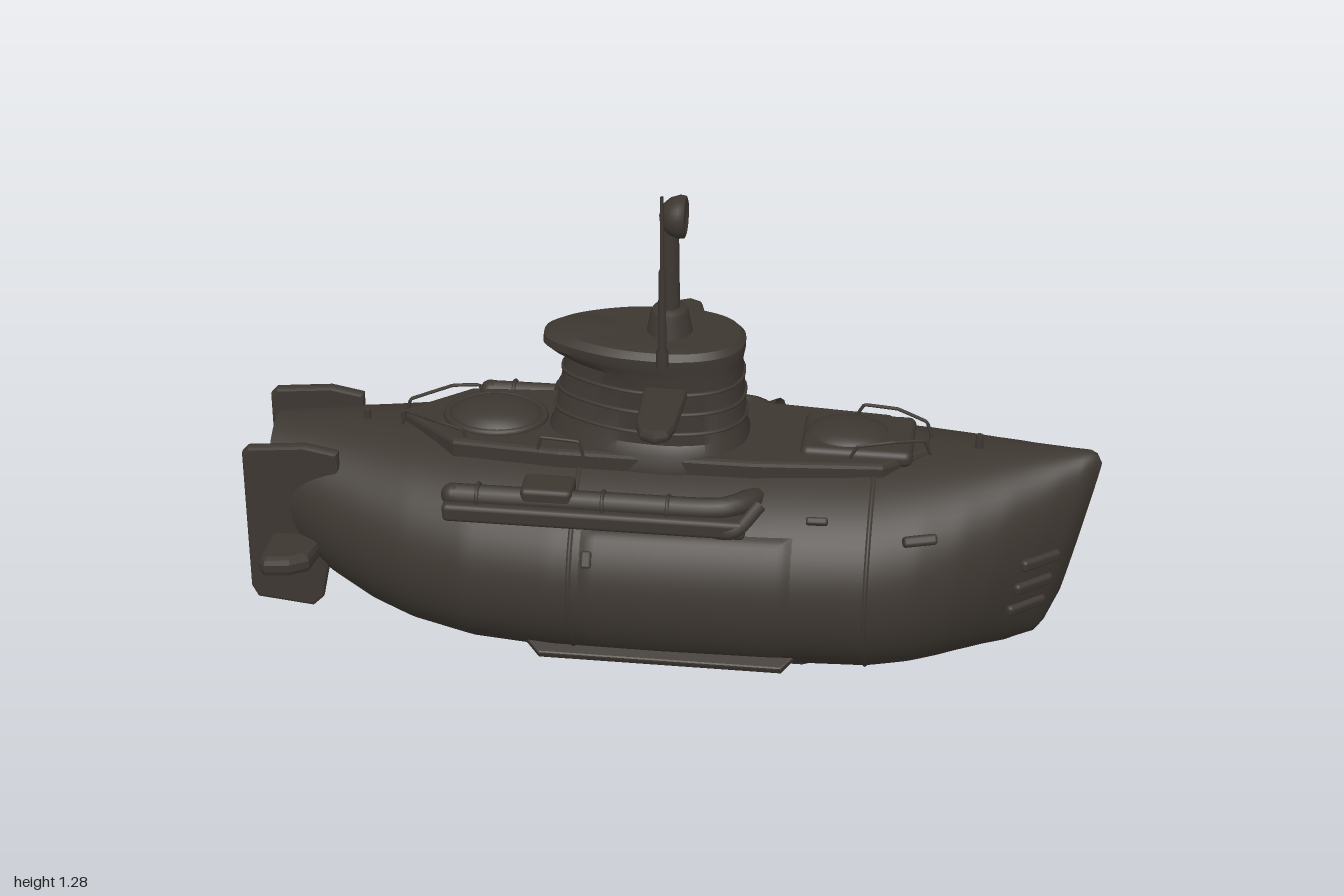
import * as THREE from 'three';
import { toCreasedNormals } from 'three/addons/utils/BufferGeometryUtils.js';
import { RoundedBoxGeometry } from 'three/addons/geometries/RoundedBoxGeometry.js';

const steel = new THREE.MeshStandardMaterial({ color: 0x3d3731, side: THREE.DoubleSide });
steel.name = 'dark steel';
const V = (x, y, z) => new THREE.Vector3(x, y, z);

// Hull stations: x, deck height, bottom height, half width
const STATIONS = [
  [-0.95, 0.585, 0.33, 0.12], [-0.88, 0.59, 0.25, 0.165], [-0.8, 0.592, 0.195, 0.205], [-0.7, 0.595, 0.14, 0.25],
  [-0.6, 0.6, 0.105, 0.288], [-0.45, 0.603, 0.08, 0.33], [-0.25, 0.605, 0.07, 0.35], [0, 0.607, 0.065, 0.348],
  [0.25, 0.61, 0.065, 0.343], [0.48, 0.612, 0.067, 0.328], [0.6, 0.615, 0.075, 0.296], [0.7, 0.617, 0.085, 0.255],
  [0.8, 0.62, 0.095, 0.2], [0.9, 0.623, 0.105, 0.132], [0.97, 0.625, 0.13, 0.075], [0.99, 0.615, 0.17, 0.045],
  [1, 0.595, 0.24, 0.018],
];

function station(x) {
  let i = 0;
  while (i < STATIONS.length - 2 && x > STATIONS[i + 1][0]) i++;
  const [a, b] = [STATIONS[i], STATIONS[i + 1]];
  const t = THREE.MathUtils.clamp((x - a[0]) / (b[0] - a[0]), 0, 1);
  return a.map((v, k) => v + (b[k] - v) * t);
}

// Point on the hull; the stations lean forward towards the bow
function hullPoint(xs, angle, out = 0) {
  const [x, top, bottom, w] = station(xs);
  const mid = bottom + (top - bottom) * 0.5;
  const y = mid + ((top - bottom) / 2 + out) * Math.sin(angle);
  const lean = 0.22 * THREE.MathUtils.smoothstep(x, 0.45, 0.95);
  return V(x - lean * (0.6 - y), y, (w + out) * Math.cos(angle));
}

function hullAngle(xs, y) {
  const [, top, bottom] = station(xs);
  return Math.asin(THREE.MathUtils.clamp((2 * y - top - bottom) / (top - bottom), -1, 1));
}

// Surface spanned by a rule f(u, v), facing du x dv
function grid(f, nu, nv) {
  const pos = [], idx = [];
  for (let i = 0; i <= nu; i++) for (let j = 0; j <= nv; j++) pos.push(...f(i / nu, j / nv).toArray());
  for (let i = 0; i < nu; i++) for (let j = 0; j < nv; j++) {
    const a = i * (nv + 1) + j, b = a + nv + 1;
    idx.push(a, b, b + 1, a, b + 1, a + 1);
  }
  const g = new THREE.BufferGeometry();
  g.setAttribute('position', new THREE.Float32BufferAttribute(pos, 3));
  g.setIndex(idx);
  g.computeVertexNormals();
  return g;
}

function add(parent, name, geometry, x = 0, y = 0, z = 0) {
  const m = new THREE.Mesh(geometry, steel);
  m.name = name;
  m.position.set(x, y, z);
  parent.add(m);
  return m;
}
const tube = (pts, r, smooth = true) => new THREE.TubeGeometry(
  new THREE.CatmullRomCurve3(pts.map(p => V(...p)), false, 'catmullrom', smooth ? 0.5 : 0.05), 32, r, 8);

// Flat outline in (a, b), given thickness with a small bevel, centred on its plane
function plate(pts, depth, bevel = 0.008) {
  const s = new THREE.Shape(pts.map(p => new THREE.Vector2(...p)));
  const g = new THREE.ExtrudeGeometry(s, {
    depth: depth - 2 * bevel, bevelThickness: bevel, bevelSize: bevel, bevelOffset: -bevel, bevelSegments: 2,
  });
  return g.translate(0, 0, bevel - depth / 2);
}

// Fitting laid on the hull with its depth along the surface normal
function onHull(parent, name, geometry, xs, y) {
  const a = hullAngle(xs, y), p = hullPoint(xs, a);
  const along = hullPoint(xs + 0.01, hullAngle(xs + 0.01, y)).sub(p).normalize();
  const up = hullPoint(xs, a + 0.03).sub(p).normalize();
  const normal = along.clone().cross(up).normalize();
  const m = add(parent, name, geometry, p.x, p.y, p.z);
  m.quaternion.setFromRotationMatrix(new THREE.Matrix4().makeBasis(along, normal.clone().cross(along), normal));
}

function addHull(g) {
  const turn = v => -Math.PI / 2 + v * Math.PI * 2;
  add(g, 'hull', grid((u, v) => hullPoint(-0.95 + 1.95 * u, turn(v)), 120, 64));
  for (const [name, x] of [['sternFace', -0.95], ['bowEdge', 1]]) {
    const c = hullPoint(x, 0).setZ(0);
    add(g, name, grid((u, v) => hullPoint(x, turn(v)).lerp(c, x < 0 ? 1 - u : u), 2, 64));
  }
  // Ring seams round the hull
  for (const x of [-0.2, 0.48]) {
    add(g, 'hullSeam', grid((u, v) => hullPoint(x - 0.006 + 0.012 * u, turn(v), 0.004 * Math.sin(u * Math.PI)), 4, 64));
  }
  // Keel: tapered box
  const keel = plate([[-0.47, 0.09], [-0.36, 0.02], [-0.32, 0], [0.32, 0], [0.38, 0.025], [0.45, 0.09]], 0.1, 0.012);
  const p = keel.attributes.position;
  for (let i = 0; i < p.count; i++) p.setZ(i, p.getZ(i) * (0.75 + 4 * p.getY(i)));
  keel.computeVertexNormals();
  add(g, 'keel', keel);
  // Raised deck casing, pointed fore and aft
  const casing = plate([[-0.65, 0], [-0.5, 0.13], [-0.25, 0.15], [0.2, 0.15], [0.5, 0.125], [0.6, 0.04], [0.6, -0.04],
    [0.5, -0.125], [0.2, -0.15], [-0.25, -0.15], [-0.5, -0.13]], 0.1, 0.01);
  add(g, 'deckCasing', casing.rotateX(-Math.PI / 2), 0, 0.572, 0);
}

// Everything that appears on both sides
function sideFittings() {
  const g = new THREE.Group();
  g.name = 'sideFittings';
  const lo = hullAngle(0, 0.18), hi = hullAngle(0, 0.5);
  const edge = t => Math.min(1, 20 * Math.min(t, 1 - t));
  add(g, 'sidePanel', grid((u, v) => hullPoint(-0.18 + 0.49 * u, lo + (hi - lo) * v, 0.007 * Math.min(edge(u), edge(v)) - 0.001), 40, 40));

  // Bilge strake under the panel
  const strake = add(g, 'bilgeStrake', plate([[-0.33, -0.02], [0.33, -0.02], [0.29, 0.035], [-0.28, 0.035]], 0.022, 0.005), 0, 0.17, 0.268);
  strake.rotation.x = Math.PI / 2 + 0.45;

  // Long side pipe, its shelf and box
  add(g, 'pipeShelf', new RoundedBoxGeometry(0.7, 0.045, 0.1, 2, 0.012), -0.15, 0.52, 0.245);
  add(g, 'sidePipe', tube([[-0.48, 0.548, 0.25], [-0.1, 0.55, 0.25], [0.11, 0.552, 0.25], [0.17, 0.556, 0.235], [0.205, 0.555, 0.2], [0.22, 0.54, 0.17]], 0.027));
  add(g, 'pipeEnd', new THREE.SphereGeometry(0.027, 16, 12), -0.48, 0.548, 0.25);
  add(g, 'pipeBrace', tube([[0.13, 0.505, 0.272], [0.18, 0.52, 0.285], [0.23, 0.565, 0.24]], 0.016));
  add(g, 'pipeBox', new RoundedBoxGeometry(0.12, 0.07, 0.085, 2, 0.012), -0.26, 0.55, 0.232);
  for (const x of [-0.42, -0.13, 0.02]) {
    add(g, 'pipeClamp', new THREE.TorusGeometry(0.028, 0.005, 6, 18).rotateY(Math.PI / 2), x, 0.549, 0.25);
  }

  // Bow louvres
  for (const y of [0.265, 0.33, 0.395]) {
    onHull(g, 'bowLouvre', new RoundedBoxGeometry(0.11, 0.03, 0.024, 3, 0.01), 0.915, y);
  }
  // Small hull fittings
  onHull(g, 'hullLug', new RoundedBoxGeometry(0.08, 0.025, 0.03, 2, 0.008), 0.6, 0.5);
  onHull(g, 'hullCleat', new RoundedBoxGeometry(0.05, 0.018, 0.024, 2, 0.006), 0.36, 0.53);
  onHull(g, 'aftCleat', new RoundedBoxGeometry(0.025, 0.04, 0.024, 2, 0.006), -0.16, 0.44);

  // Rudder and stern plane
  add(g, 'rudder', plate([[-1, 0.2], [-0.985, 0.17], [-0.85, 0.155], [-0.825, 0.18], [-0.77, 0.45], [-0.77, 0.58],
    [-0.85, 0.595], [-0.985, 0.582], [-1, 0.565]], 0.026), 0, 0, 0.145);
  const plane = plate([[-0.81, 0.12], [-0.83, 0.25], [-0.87, 0.275], [-0.93, 0.285], [-0.945, 0.27], [-0.94, 0.12]], 0.05, 0.016);
  add(g, 'sternPlane', plane.rotateX(Math.PI / 2), 0, 0.33, 0);

  // Tower plane
  const fin = plate([[-0.055, 0.09], [-0.05, 0.28], [-0.035, 0.325], [0, 0.342], [0.03, 0.325], [0.042, 0.28], [0.05, 0.09]], 0.032, 0.013);
  add(g, 'towerPlane', fin.rotateX(Math.PI / 2), 0, 0.775, 0);

  // Deck rails
  add(g, 'foreRail', tube([[0.42, 0.62, 0.1], [0.44, 0.655, 0.1], [0.52, 0.66, 0.08], [0.59, 0.65, 0.045], [0.605, 0.61, 0.04]], 0.004, false));
  add(g, 'aftRail', tube([[-0.64, 0.6, 0.03], [-0.63, 0.635, 0.03], [-0.54, 0.645, 0.09], [-0.48, 0.64, 0.11], [-0.47, 0.61, 0.11]], 0.004, false));
  add(g, 'towerRail', tube([[-0.3, 0.61, 0.14], [-0.29, 0.65, 0.14], [-0.2, 0.65, 0.15], [-0.19, 0.61, 0.15]], 0.004, false));
  return g;
}

// Rounded tower outline, narrower aft, at one level
function towerPoint(level, angle) {
  const [y, aft, fore, w] = level;
  const c = Math.cos(angle), s = -Math.sin(angle);
  const x = (aft + fore) / 2 + (fore - aft) / 2 * Math.sign(c) * Math.abs(c) ** 0.8;
  return V(x, y, w * Math.sign(s) * Math.abs(s) ** 0.8 * (1 - 0.28 * THREE.MathUtils.smoothstep(-c, -0.3, 1)));
}

function addTower(g) {
  const levels = [[0.58, -0.295, 0.18, 0.16], [0.625, -0.29, 0.18, 0.155], [0.645, -0.28, 0.173, 0.138], [0.81, -0.25, 0.162, 0.13],
    [0.825, -0.28, 0.165, 0.132], [0.84, -0.302, 0.168, 0.134], [0.86, -0.3, 0.168, 0.134], [0.874, -0.27, 0.155, 0.12], [0.878, -0.06, -0.05, 0.001]];
  const n = levels.length - 1;
  add(g, 'tower', toCreasedNormals(grid((u, v) => towerPoint(levels[Math.round(v * n)], u * Math.PI * 2), 64, n), 0.6));
  // Ribs round the tower
  for (const y of [0.675, 0.725, 0.775]) {
    const t = (y - 0.645) / 0.165;
    const pts = [...Array(48)].map((_, i) => towerPoint([y, -0.28 + 0.03 * t, 0.173 - 0.011 * t, 0.138 - 0.008 * t], i / 24 * Math.PI));
    add(g, 'towerRib', new THREE.TubeGeometry(new THREE.CatmullRomCurve3(pts, true), 96, 0.005, 6, true));
  }

  // Periscope: flared foot, mast and a round head facing forward
  const foot = [[0.06, 0.86], [0.052, 0.88], [0.044, 0.925], [0.038, 0.935], [0.022, 0.938]].map(p => new THREE.Vector2(...p));
  add(g, 'periscopeFoot', new THREE.LatheGeometry(foot, 32), -0.008, 0, 0);
  add(g, 'periscopeMast', new THREE.CylinderGeometry(0.021, 0.024, 0.24, 24), -0.008, 1.04, 0);
  const head = [[0, -0.035], [0.025, -0.03], [0.043, -0.01], [0.05, 0.012], [0.048, 0.025], [0.04, 0.028], [0.034, 0.018], [0.02, 0.023], [0, 0.026]];
  const headGeo = new THREE.LatheGeometry(head.map(p => new THREE.Vector2(...p)), 32).rotateZ(-Math.PI / 2);
  add(g, 'periscopeHead', headGeo, 0.003, 1.165, 0);

  // Antenna on the left edge of the tower
  const mast = [[0.014, 0.85], [0.014, 0.89], [0.01, 0.9], [0.008, 1.09], [0.0045, 1.1], [0.004, 1.275], [0, 1.278]];
  add(g, 'antenna', new THREE.LatheGeometry(mast.map(p => new THREE.Vector2(...p)), 12), -0.008, 0, 0.135);
}

function addDeck(g) {
  // Aft dome, forward hatch and bollards
  const dome = add(g, 'aftDome', new THREE.SphereGeometry(1, 32, 16), -0.42, 0.615, 0);
  dome.scale.set(0.115, 0.046, 0.09);
  const rim = add(g, 'aftDomeRim', new THREE.TorusGeometry(0.115, 0.01, 8, 40).rotateX(Math.PI / 2), -0.42, 0.624, 0);
  rim.scale.z = 0.8;
  add(g, 'foreHatchBase', new RoundedBoxGeometry(0.26, 0.04, 0.19, 3, 0.018), 0.435, 0.618, 0);
  const hatch = add(g, 'foreHatch', new THREE.SphereGeometry(1, 32, 16), 0.41, 0.628, 0);
  hatch.scale.set(0.1, 0.034, 0.08);
  add(g, 'foreBollard', new THREE.CylinderGeometry(0.008, 0.011, 0.045, 12), 0.715, 0.627, 0);
  add(g, 'aftBollard', new THREE.CylinderGeometry(0.008, 0.01, 0.03, 12), -0.73, 0.602, 0);
}

export function createModel() {
  const g = new THREE.Group();
  g.name = 'submarine';
  addHull(g);
  addDeck(g);
  addTower(g);
  const left = sideFittings();
  const right = left.clone();
  left.name = 'leftFittings';
  right.name = 'rightFittings';
  right.scale.z = -1;
  g.add(left, right);
  return g;
}
